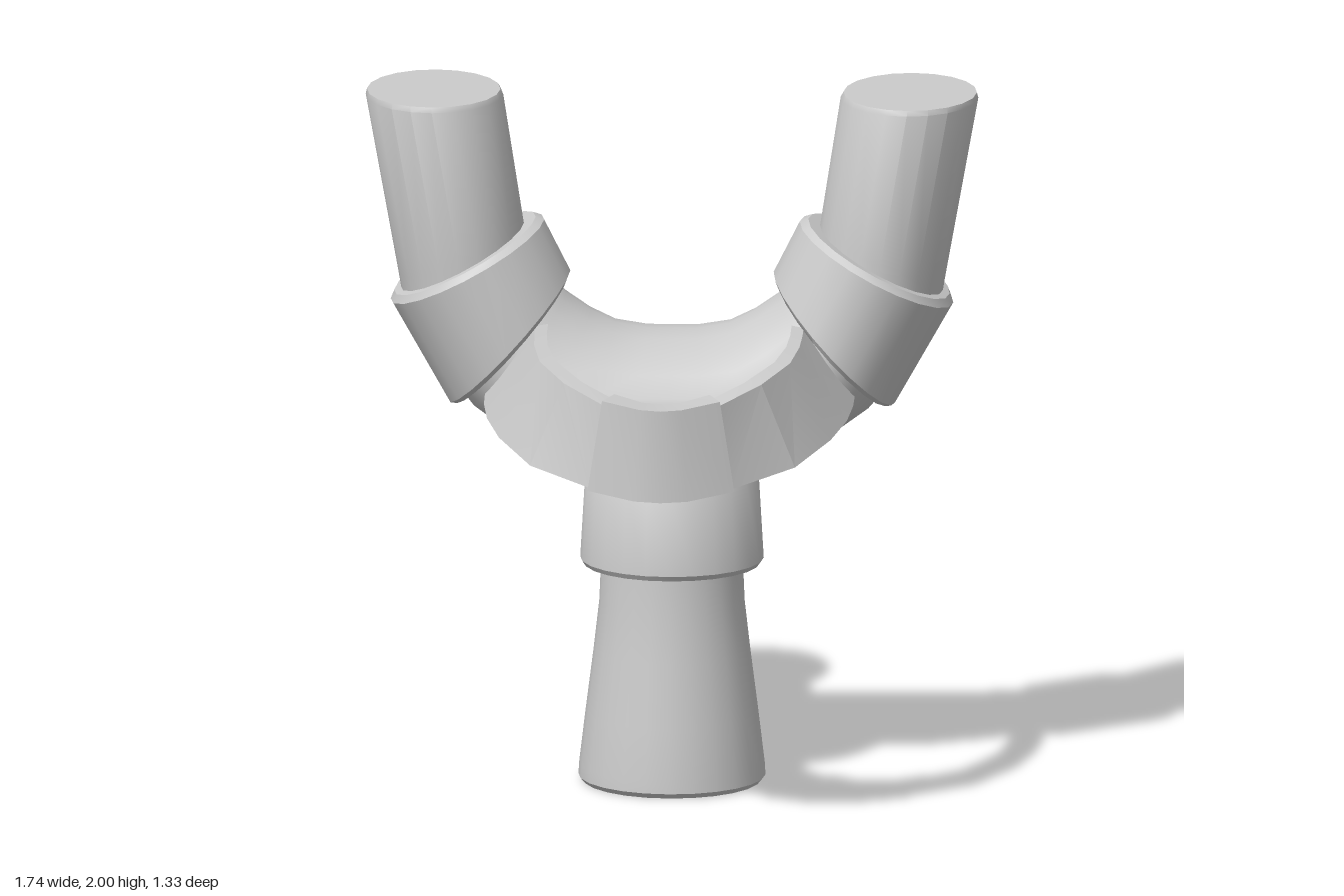
import * as THREE from 'three';
import { toCreasedNormals } from 'three/addons/utils/BufferGeometryUtils.js';

const material = new THREE.MeshStandardMaterial({ color: 0xcccccc });
const FRAME_Z = -0.365;
const SIDES = 20;

// Elliptical ring between an inner and an outer edge point, with half depth hz
function ring([ix, iy, ox, oy, hz], side = 1, scale = 1) {
  const points = [];
  for (let i = 0; i < SIDES; i++) {
    const a = (i / SIDES) * Math.PI * 2, c = Math.cos(a) * scale;
    points.push([
      side * ((ix + ox) / 2 + (c * (ox - ix)) / 2),
      (iy + oy) / 2 + (c * (oy - iy)) / 2,
      FRAME_Z + Math.sin(a) * hz * scale,
    ]);
  }
  return points;
}

// Capped solid through equal-sized closed sections, wound outward
function loft(sections, crease) {
  const n = sections[0].length, last = sections.length - 1;
  const p = sections.flat();
  const faces = [];
  for (let s = 0; s < last; s++) {
    for (let i = 0; i < n; i++) {
      const a = s * n + i, b = s * n + ((i + 1) % n);
      faces.push([a, b, b + n], [a, b + n, a + n]);
    }
  }
  for (let i = 1; i < n - 1; i++) {
    faces.push([0, i + 1, i], [last * n, last * n + i, last * n + i + 1]);
  }
  let volume = 0;
  const v = p.map((q) => new THREE.Vector3(...q));
  for (const [a, b, c] of faces) volume += v[a].dot(v[b].clone().cross(v[c]));
  if (volume < 0) faces.forEach((f) => f.reverse());
  const g = new THREE.BufferGeometry();
  g.setAttribute('position', new THREE.Float32BufferAttribute(p.flat(), 3));
  g.setIndex(faces.flat());
  return toCreasedNormals(g, crease);
}

export function createModel() {
  const model = new THREE.Group();
  const add = (name, geometry) => {
    const mesh = new THREE.Mesh(geometry, material);
    mesh.name = name;
    model.add(mesh);
    return mesh;
  };

  // Turned grip and its collar
  const turned = (name, profile) => {
    const points = profile.map(([r, y]) => new THREE.Vector2(r, y));
    add(name, toCreasedNormals(new THREE.LatheGeometry(points, 24), 0.6)).position.z = FRAME_Z;
  };
  turned('grip', [[0, 0], [0.252, 0], [0.265, 0.015], [0.263, 0.05], [0.245, 0.2],
    [0.222, 0.38], [0.206, 0.52], [0.2, 0.66], [0, 0.66]]);
  turned('collar', [[0, 0.63], [0.25, 0.63], [0.26, 0.645], [0.246, 0.885], [0.236, 0.9], [0, 0.9]]);

  // Curved yoke, swelling toward the middle
  const half = [
    [0.4, 1.52, 0.65, 1.2, 0.23],
    [0.3, 1.41, 0.565, 1.09, 0.25],
    [0.23, 1.36, 0.44, 1.0, 0.275],
    [0.16, 1.325, 0.3, 0.915, 0.298],
    [0.07, 1.31, 0.14, 0.9, 0.302],
  ];
  add('yoke', loft([
    ...half.map((r) => ring(r, -1)),
    ring([0, 1.31, 0, 0.9, 0.302]),
    ...half.slice().reverse().map((r) => ring(r)),
  ], 0.9));

  for (const [side, label] of [[1, 'left'], [-1, 'right']]) {
    // Fork arm
    const tip = [0.48, 2, 0.87, 2, 0.25];
    add(label + 'Arm', loft([
      ring([0.41, 1.56, 0.76, 1.38, 0.24], side),
      ring([0.421, 1.62, 0.775, 1.47, 0.242], side),
      ring([0.478, 1.985, 0.868, 1.985, 0.25], side),
      ring(tip, side, 0.97),
    ], 0.6));

    // Wedge-shaped cuff joining arm and yoke
    add(label + 'Cuff', loft([
      ring([0.29, 1.46, 0.62, 1.09, 0.285], side, 0.96),
      ring([0.288, 1.475, 0.633, 1.1, 0.289], side),
      ring([0.362, 1.622, 0.797, 1.39, 0.29], side),
      ring([0.38, 1.633, 0.793, 1.412, 0.283], side, 0.97),
    ], 0.6));

    // Sloping strap: [inner x, outer x, foot x, inner z, outer z, top y, bottom y]
    const strap = [
      [0.345, 0.38, 0.525, -0.3, -0.3, 1.36, 1.16],
      [0.345, 0.38, 0.523, -0.06, -0.06, 1.36, 1.155],
      [0.338, 0.376, 0.51, 0.08, 0.08, 1.358, 1.145],
      [0.31, 0.355, 0.47, 0.25, 0.26, 1.352, 1.13],
      [0.23, 0.28, 0.375, 0.44, 0.46, 1.335, 1.095],
      [0.125, 0.162, 0.2, 0.535, 0.59, 1.3, 1.06],
    ].map(([xi, xo, xf, zi, zo, top, bottom]) => [
      [side * xi, top, zi], [side * xo, top, zo],
      [side * xf, bottom, zo], [side * (xf - xo + xi), bottom, zi],
    ]);
    add(label + 'Strap', loft(strap, 0.5));
  }

  // Pouch: [inner x, outer x, foot x, inner z, outer z, top y, bottom y]
  const pouchHalf = [
    [0.135, 0.167, 0.208, 0.51, 0.6, 1.316, 1.055],
    [0.055, 0.06, 0.075, 0.558, 0.653, 1.303, 1.037],
  ];
  const pouchRow = ([xi, xo, xf, zi, zo, top, bottom], s) => [
    [s * xi, top, zi], [s * xo, top, zo],
    [s * xf, bottom, zo], [s * (xf - xo + xi), bottom, zi],
  ];
  add('pouch', loft([
    ...pouchHalf.map((r) => pouchRow(r, -1)),
    pouchRow([0, 0, 0, 0.562, 0.66, 1.3, 1.034], 1),
    ...pouchHalf.slice().reverse().map((r) => pouchRow(r, 1)),
  ], 0.6));

  return model;
}
